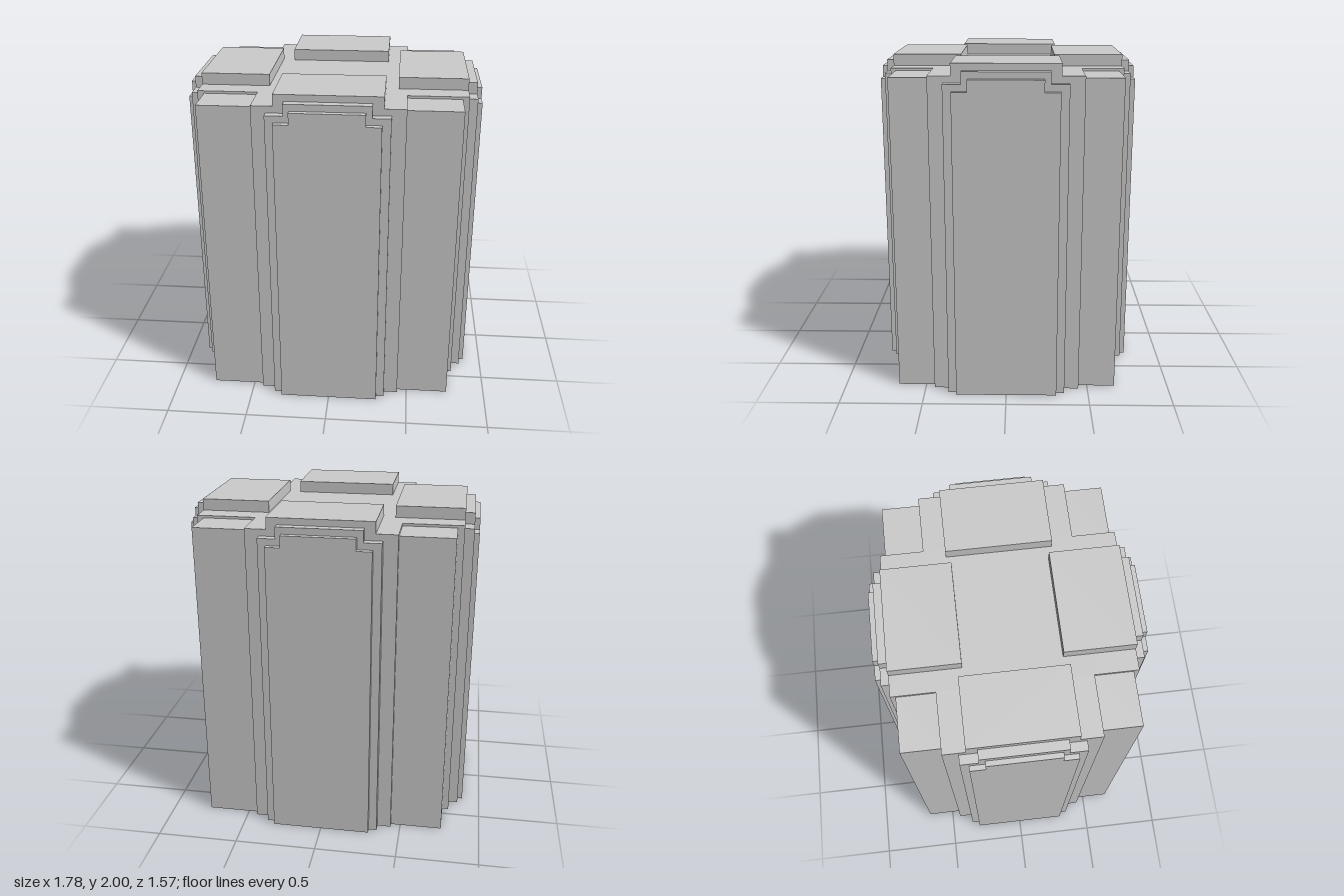
import * as THREE from 'three';

const material = new THREE.MeshStandardMaterial({ color: 0xcccccc, flatShading: true });

function add(parent, name, geometry) {
  const mesh = new THREE.Mesh(geometry, material);
  mesh.name = name;
  parent.add(mesh);
  return mesh;
}

// Box given by its two opposite corners
function box(parent, name, [x0, y0, z0], [x1, y1, z1]) {
  const mesh = add(parent, name, new THREE.BoxGeometry(x1 - x0, y1 - y0, z1 - z0));
  mesh.position.set((x0 + x1) / 2, (y0 + y1) / 2, (z0 + z1) / 2);
}

// Closed outline mirrored across the vertical axis, from its right half
function mirroredShape(half) {
  const left = half.map(([x, y]) => [-x, y]).reverse();
  return new THREE.Shape([...half, ...left].map(([x, y]) => new THREE.Vector2(x, y)));
}

const extrude = (shape, depth) =>
  new THREE.ExtrudeGeometry(shape, { depth, bevelEnabled: false });

export function createModel() {
  const model = new THREE.Group();
  model.name = 'steppedBlock';
  const bodyTop = 1.93;

  // Cross-shaped core, extruded upwards
  const plan = mirroredShape([
    [0.44, -0.7], [0.44, -0.445], [0.8, -0.445],
    [0.8, 0.445], [0.44, 0.445], [0.44, 0.7],
  ]);
  add(model, 'crossCore', extrude(plan, bodyTop).rotateX(-Math.PI / 2));

  // Slightly lower posts filling the four corners of the cross
  for (const sx of [-1, 1]) {
    for (const sz of [-1, 1]) {
      const xs = [0.44 * sx, 0.76 * sx].sort((a, b) => a - b);
      const zs = [0.445 * sz, 0.67 * sz].sort((a, b) => a - b);
      box(model, 'cornerPost', [xs[0], 0, zs[0]], [xs[1], 1.915, zs[1]]);
    }
  }

  // Each side: a raised roof pad and two layered panels with notched shoulders
  const sides = [
    { name: 'front', angle: 0, wall: 0.7, mid: 0.75, outer: 0.785, padIn: 0.285 },
    { name: 'left', angle: Math.PI / 2, wall: 0.8, mid: 0.857, outer: 0.888, padIn: 0.387 },
    { name: 'back', angle: Math.PI, wall: 0.7, mid: 0.75, outer: 0.785, padIn: 0.285 },
    { name: 'right', angle: -Math.PI / 2, wall: 0.8, mid: 0.857, outer: 0.888, padIn: 0.387 },
  ];
  for (const { name, angle, wall, mid, outer, padIn } of sides) {
    const side = new THREE.Group();
    side.name = name + 'Side';
    side.rotation.y = angle;
    model.add(side);

    box(side, 'roofPad', [-0.313, bodyTop, padIn], [0.313, 2, wall]);

    const midShape = mirroredShape([[0.355, 0], [0.355, 1.89], [0.25, 1.89], [0.25, 1.96]]);
    add(side, 'middlePanel', extrude(midShape, mid - wall)).position.z = wall;

    const outerShape = mirroredShape([[0.305, 0], [0.305, 1.85], [0.215, 1.85], [0.215, 1.92]]);
    add(side, 'outerPanel', extrude(outerShape, outer - mid)).position.z = mid;
  }
  return model;
}
